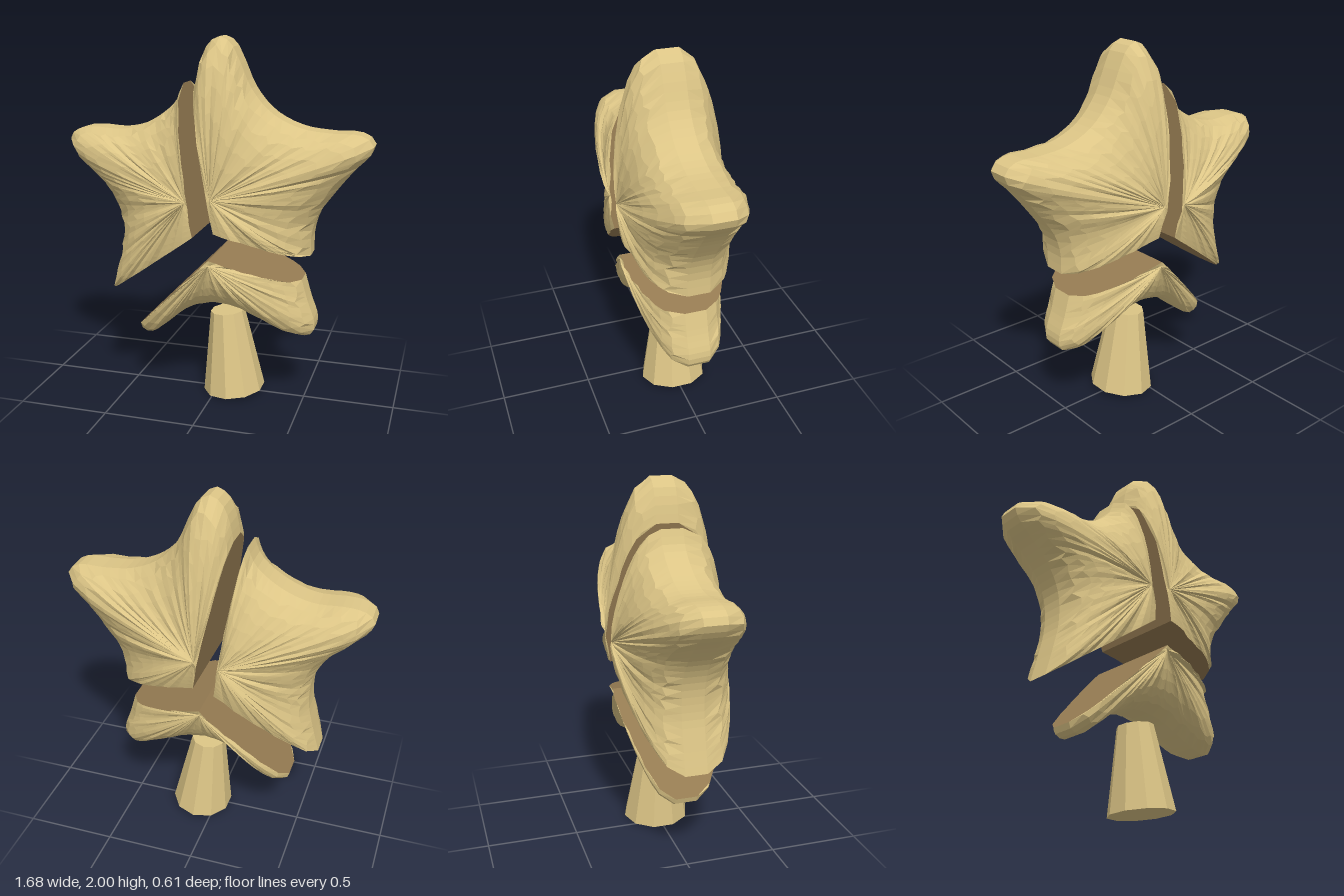
import * as THREE from 'three';

const gold = new THREE.MeshStandardMaterial({ color: 0xdcc586, flatShading: true });
gold.name = 'gold';
const brown = new THREE.MeshStandardMaterial({ color: 0x957b52, flatShading: true });
brown.name = 'cut brown';

// Radial steps from the pole of a shard to its outline
const RINGS = [0.14, 0.34, 0.52, 0.68, 0.81, 0.92, 1];
const DEPTH = 0.3;
// The front is full and round, the back tapers more like a cone
const FRONT = { sign: 1, edge: 0.07, power: 2.4 };
const BACK = { sign: -1, edge: 0.05, power: 1.4 };

function seeded(seed) {
  return () => (seed = (seed * 16807) % 2147483647) / 2147483647;
}

// Height of a side at fraction c between the star's heart (0) and its edge (1)
function height({ sign, edge, power }, c, crease = 1) {
  return sign * (edge + (DEPTH - edge) * crease * Math.sqrt(Math.max(0, 1 - Math.pow(c, power))));
}

function meshFrom(name, positions, material) {
  const geo = new THREE.BufferGeometry();
  geo.setAttribute('position', new THREE.Float32BufferAttribute(positions, 3));
  geo.computeVertexNormals();
  const mesh = new THREE.Mesh(geo, material);
  mesh.name = name;
  return mesh;
}

// A puffy star shard: rim runs counter-clockwise, then two straight cuts meet at corner.
// heart is the middle of the whole star; reach is the star's radius in the corner's direction.
function shard(name, { pole, heart = pole, rim, corner, reach, seed }) {
  const rand = seeded(seed);
  const centre = new THREE.Vector2(...pole);
  const middle = new THREE.Vector2(...heart);
  const tip = new THREE.Vector2(...corner);
  const poleC = centre.distanceTo(middle) / reach;
  const curve = new THREE.CatmullRomCurve3(rim.map(([x, y]) => new THREE.Vector3(x, y, 0)), false, 'centripetal');

  // Outline points with their fraction c of the whole star's radius
  const outline = [];
  const rimSteps = 44, cutSteps = 10;
  for (let i = 0; i <= rimSteps; i++) {
    const p = curve.getPointAt(i / rimSteps);
    outline.push({ p: new THREE.Vector2(p.x, p.y), c: 1, cut: i === rimSteps });
  }
  const first = outline[0].p, last = outline[rimSteps].p;
  const addCut = (end, t) => {
    const p = tip.clone().lerp(end, t);
    const radius = THREE.MathUtils.lerp(reach, end.distanceTo(middle), Math.sqrt(t));
    outline.push({ p, c: Math.min(1, p.distanceTo(middle) / radius), cut: true });
  };
  for (let i = cutSteps - 1; i >= 0; i--) addCut(last, i / cutSteps);
  for (let i = 1; i < cutSteps; i++) addCut(first, i / cutSteps);

  // Rounded depth profile with uneven rings and slight creases along each ray
  const face = (side) => outline.map(({ p, c }) => {
    const crease = 1.03 - rand() * 0.08;
    return RINGS.map((ring) => {
      const s = ring < 1 ? ring + (rand() - 0.5) * 0.07 : 1;
      const q = centre.clone().lerp(p, s);
      return [q.x, q.y, height(side, THREE.MathUtils.lerp(poleC, c, s), crease)];
    });
  });
  const front = face(FRONT), back = face(BACK);
  const frontPole = [...pole, height(FRONT, poleC)], backPole = [...pole, height(BACK, poleC)];

  const skin = [], cuts = [];
  const quad = (out, a, b, c, d) => out.push(...a, ...b, ...c, ...a, ...c, ...d);
  const n = outline.length, edge = RINGS.length - 1;
  for (let i = 0; i < n; i++) {
    const j = (i + 1) % n;
    skin.push(...frontPole, ...front[i][0], ...front[j][0]);
    skin.push(...backPole, ...back[j][0], ...back[i][0]);
    for (let k = 0; k < edge; k++) {
      quad(skin, front[i][k], front[i][k + 1], front[j][k + 1], front[j][k]);
      quad(skin, back[j][k], back[j][k + 1], back[i][k + 1], back[i][k]);
    }
    quad(outline[i].cut ? cuts : skin, front[i][edge], back[i][edge], back[j][edge], front[j][edge]);
  }

  const group = new THREE.Group();
  group.name = name;
  group.add(meshFrom('shell', skin, gold), meshFrom('cutFaces', cuts, brown));
  return group;
}

export function createModel() {
  const model = new THREE.Group();
  model.name = 'brokenStar';

  // Shard with the arm on the -x side and half of the lower arm
  model.add(shard('rightShard', {
    pole: [-0.1, 1.16], corner: [-0.065, 0.97], reach: 0.5, seed: 11,
    rim: [[-0.175, 1.755], [-0.21, 1.67], [-0.28, 1.6], [-0.4, 1.53], [-0.53, 1.495], [-0.7, 1.5],
      [-0.79, 1.485], [-0.84, 1.44], [-0.81, 1.37], [-0.7, 1.27], [-0.6, 1.16], [-0.545, 1.04],
      [-0.535, 0.88], [-0.565, 0.73], [-0.605, 0.575]],
  }));

  // Shard with the top arm and the arm on the +x side
  model.add(shard('leftShard', {
    pole: [0.035, 1.18], corner: [0.05, 1.0], reach: 0.5, seed: 23,
    rim: [[0.53, 0.86], [0.53, 0.97], [0.56, 1.08], [0.64, 1.2], [0.75, 1.34], [0.825, 1.42],
      [0.835, 1.47], [0.77, 1.515], [0.62, 1.52], [0.46, 1.54], [0.31, 1.61], [0.2, 1.73],
      [0.13, 1.88], [0.08, 1.97], [0.02, 2.0], [-0.04, 1.96], [-0.08, 1.87], [-0.1, 1.77]],
  }));

  // Shard with the two lower arms
  model.add(shard('lowerShard', {
    pole: [0.02, 0.82], heart: [0.03, 1.03], corner: [0.02, 0.85], reach: 0.5, seed: 37,
    rim: [[-0.45, 0.37], [-0.435, 0.335], [-0.38, 0.325], [-0.3, 0.38], [-0.15, 0.5], [0, 0.545],
      [0.15, 0.53], [0.3, 0.47], [0.42, 0.42], [0.5, 0.4], [0.55, 0.42], [0.56, 0.48],
      [0.52, 0.6], [0.485, 0.72]],
  }));

  // Tilted tapered stand
  const stand = new THREE.Mesh(new THREE.CylinderGeometry(0.096, 0.173, 0.467, 10), gold);
  stand.name = 'stand';
  stand.scale.z = 1.09;
  stand.position.set(0.073, 0.248, 0);
  stand.rotation.z = 0.088;
  model.add(stand);

  return model;
}
